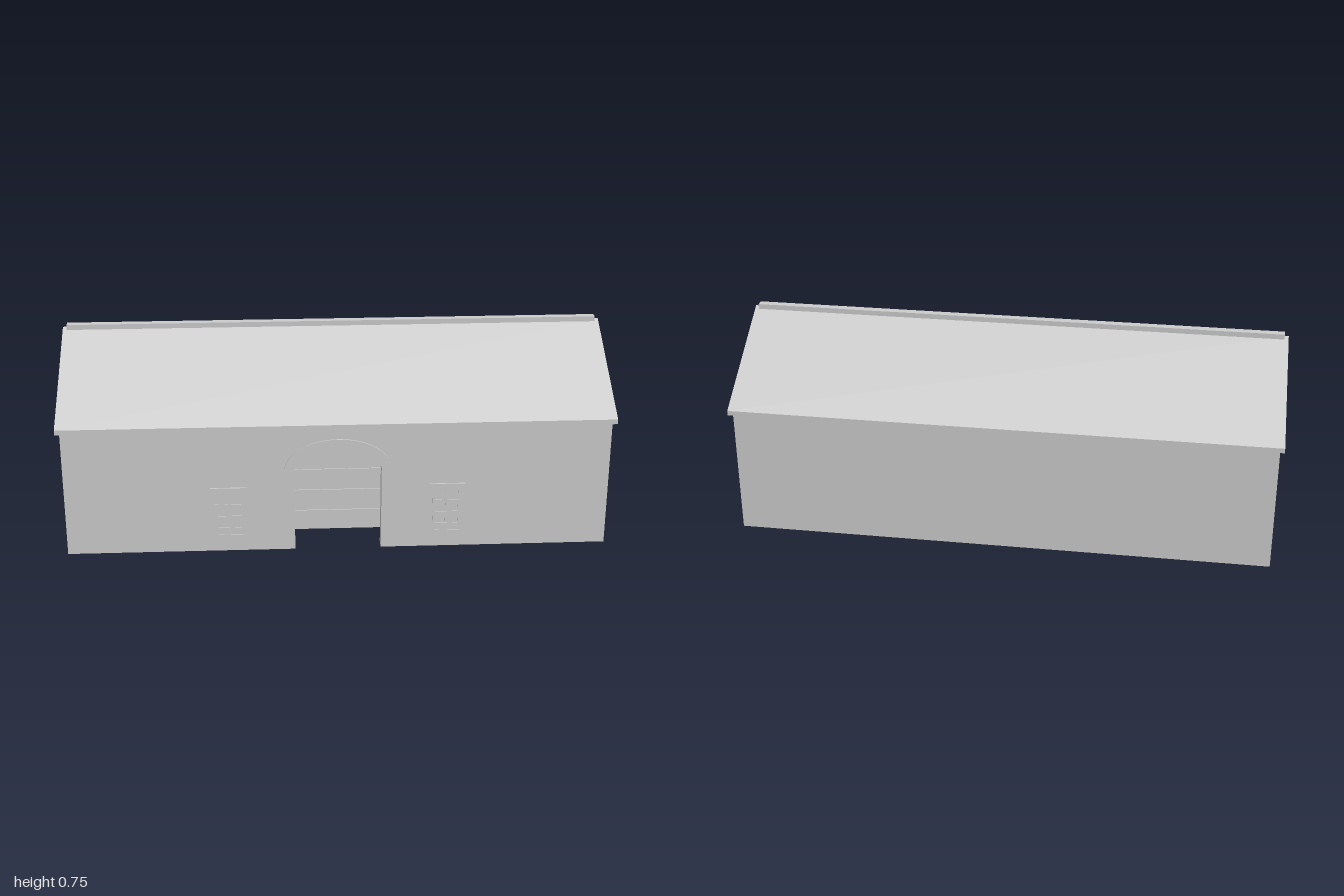
import * as THREE from 'three';

const HX = 0.985, HZ = 0.402, T = 0.045; // half length, half width, wall thickness
const EAVE = 0.502, DOOR = 0.157, SPRING = 0.315, RISE = 0.08;

export function createModel() {
  const model = new THREE.Group();
  model.name = 'barn';
  const grey = new THREE.MeshStandardMaterial({ color: 0xcccccc });
  grey.name = 'light grey';

  const add = (name, geometry, parent = model) => {
    const mesh = new THREE.Mesh(geometry, grey);
    mesh.name = name;
    parent.add(mesh);
    return mesh;
  };
  const box = (name, w, h, d, x, y, z, parent) =>
    add(name, new THREE.BoxGeometry(w, h, d).translate(x, y, z), parent);
  const extrude = (shape, depth, z0) =>
    new THREE.ExtrudeGeometry(shape, { depth, bevelEnabled: false, curveSegments: 24 }).translate(0, 0, z0);
  // profile in (z, y), swept along x and centred on x0
  const sweepX = (points, length, x0) =>
    extrude(new THREE.Shape(points.map(([z, y]) => new THREE.Vector2(z, y))), length, -length / 2)
      .rotateY(Math.PI / 2).translate(x0, 0, 0);

  // front wall with an arched doorway
  const front = new THREE.Shape();
  front.moveTo(-HX, 0);
  front.lineTo(-DOOR, 0);
  front.lineTo(-DOOR, SPRING);
  front.absellipse(0, SPRING, DOOR, RISE, Math.PI, 0, true);
  front.lineTo(DOOR, 0);
  front.lineTo(HX, 0);
  front.lineTo(HX, EAVE);
  front.lineTo(-HX, EAVE);
  add('frontWall', extrude(front, T, HZ - T));

  // back wall, end walls and gables
  box('backWall', HX * 2, EAVE, T, 0, EAVE / 2, -HZ + T / 2);
  const inner = HZ - T;
  for (const s of [-1, 1]) {
    const x = s * (HX - T / 2);
    add('endWall', sweepX([[-inner, 0], [inner, 0], [inner, 0.511], [0, 0.718], [-inner, 0.511]], T, x));
  }

  // roof and ridge cap
  add('roof', sweepX([
    [-0.417, 0.478], [0, 0.718], [0.417, 0.478],
    [0.417, 0.496], [0, 0.736], [-0.417, 0.496],
  ], 2, 0));
  box('ridgeCap', HX * 2, 0.022, 0.028, 0, 0.736, 0);

  // recessed sectional door, open below
  const archTop = (y0, half, spring, rise) => {
    const s = new THREE.Shape();
    s.moveTo(half, y0);
    s.lineTo(half, spring);
    s.absellipse(0, spring, half, rise, 0, Math.PI, false);
    s.lineTo(-half, y0);
    return s;
  };
  const door = new THREE.Group();
  door.name = 'door';
  model.add(door);
  add('doorBacking', extrude(archTop(0.06, DOOR, SPRING, RISE), 0.02, 0.338), door);
  const step = 0.082, gap = 0.006;
  for (let i = 0; i < 3; i++) {
    box('doorSection', DOOR * 2, step - gap, 0.004, 0, 0.06 + i * step + (step - gap) / 2, 0.36, door);
  }
  add('doorTopSection', extrude(archTop(0.06 + 3 * step, DOOR, SPRING, RISE), 0.004, 0.358), door);

  // flat arch band around the door head
  const band = new THREE.Shape();
  band.moveTo(0.193, SPRING);
  band.absellipse(0, SPRING, 0.193, 0.12, 0, Math.PI, false);
  band.lineTo(-DOOR, SPRING);
  band.absellipse(0, SPRING, DOOR, RISE, Math.PI, 0, true);
  add('doorArchBand', extrude(band, 0.005, HZ));

  // barred windows with a lintel, two in front and one on the right-hand end
  const addWindow = (x, z, turn) => {
    const w = new THREE.Group();
    w.name = 'window';
    box('pane', 0.1, 0.173, 0.002, 0, 0.1435, 0.001, w);
    for (const px of [-0.046, 0, 0.046]) box('uprightBar', 0.009, 0.173, 0.004, px, 0.1435, 0.002, w);
    for (const py of [0.062, 0.09, 0.137, 0.184]) box('crossBar', 0.1, 0.009, 0.005, 0, py, 0.0025, w);
    box('lintel', 0.132, 0.023, 0.006, 0, 0.2415, 0.003, w);
    w.position.set(x, 0, z);
    w.rotation.y = turn;
    model.add(w);
  };
  addWindow(-0.395, HZ, 0);
  addWindow(0.395, HZ, 0);
  addWindow(-HX, 0, -Math.PI / 2);

  // square loft hatch high on the other end
  box('loftHatch', 0.005, 0.106, 0.096, HX + 0.0025, 0.486, 0);

  return model;
}
